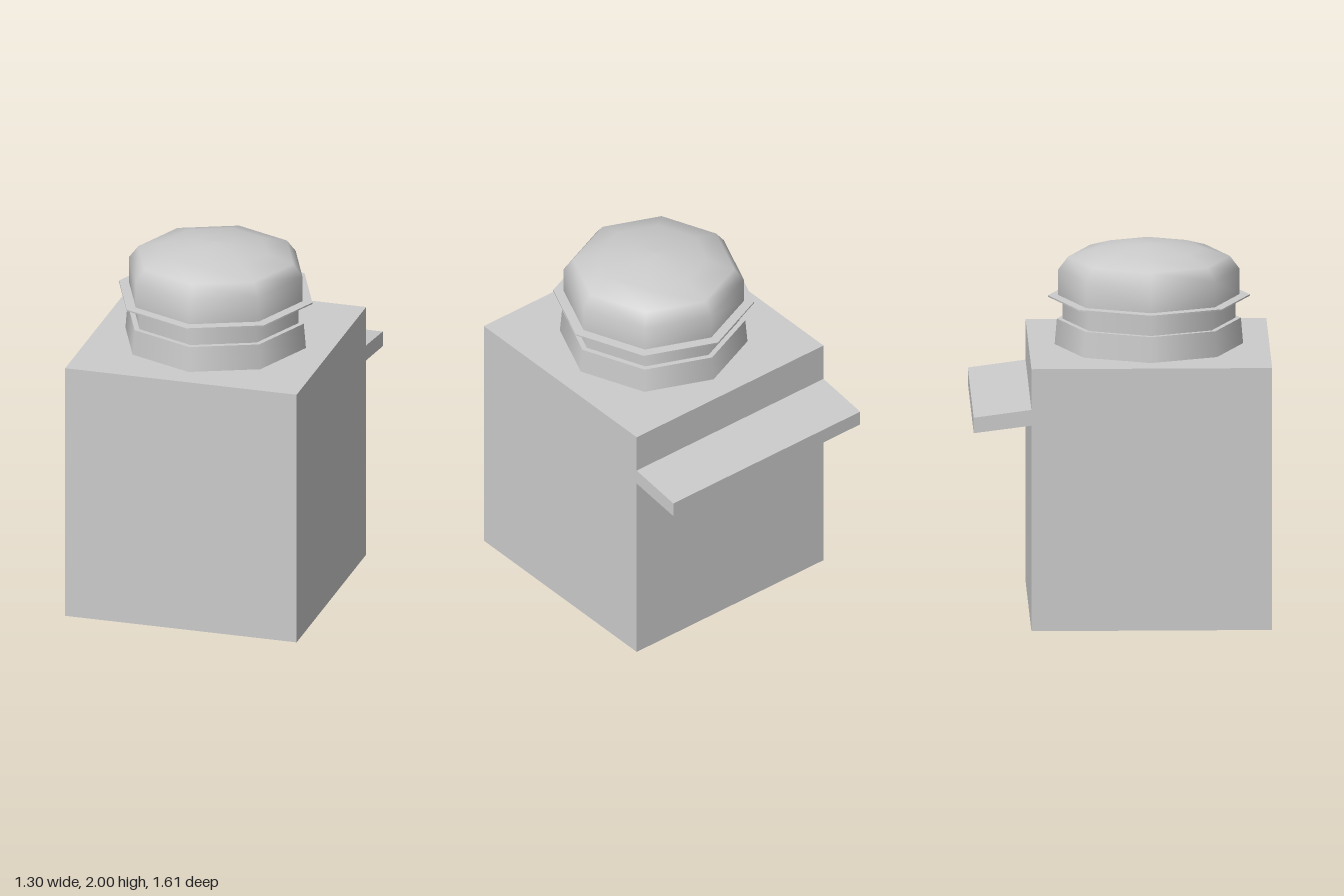
import * as THREE from 'three';

const CENTER_Z = 0.155;
const HALF_WIDTH = 0.65;

export function createModel() {
  const model = new THREE.Group();
  model.name = 'boxWithDomedCap';
  const material = new THREE.MeshStandardMaterial({ color: 0xcccccc, side: THREE.DoubleSide });

  const add = (name, geometry, x = 0, y = 0, z = 0) => {
    const mesh = new THREE.Mesh(geometry, material);
    mesh.name = name;
    mesh.position.set(x, y, z);
    model.add(mesh);
    return mesh;
  };

  // Eight-sided ring or dome from [radius, height] pairs, a corner facing front
  const addOctagon = (name, profile) =>
    add(name, new THREE.LatheGeometry(profile.map(([r, y]) => new THREE.Vector2(r, y)), 8), 0, 0, CENTER_Z);

  // Hollow body: a box without its underside
  const body = new THREE.BoxGeometry(HALF_WIDTH * 2, 1.44, 1.295);
  const bottomStart = 18;
  body.setIndex(Array.from(body.index.array).filter((_, i) => i < bottomStart || i >= bottomStart + 6));
  body.clearGroups();
  add('body', body, 0, 0.72, CENTER_Z);

  // Sloping shelf across the back, profile drawn in (-z, y) and swept along x
  const shelfProfile = new THREE.Shape([
    [0.49, 1.13], [0.803, 1.09], [0.803, 1.175], [0.49, 1.217],
  ].map(([d, y]) => new THREE.Vector2(d, y)));
  const shelf = new THREE.ExtrudeGeometry(shelfProfile, { depth: HALF_WIDTH * 2, bevelEnabled: false });
  shelf.rotateY(Math.PI / 2);
  add('backShelf', shelf, -HALF_WIDTH);

  // Stacked cap
  addOctagon('capBase', [[0.507, 1.44], [0.495, 1.58]]);
  addOctagon('capBaseLedge', [[0.495, 1.58], [0.465, 1.58]]);
  addOctagon('capNeck', [[0.465, 1.58], [0.465, 1.7]]);
  addOctagon('flangeUnderside', [[0.465, 1.7], [0.543, 1.7]]);
  addOctagon('flangeRim', [[0.543, 1.7], [0.543, 1.708]]);
  addOctagon('flangeTop', [[0.543, 1.708], [0.488, 1.71]]);
  addOctagon('dome', [
    [0.488, 1.71], [0.488, 1.85], [0.435, 1.92],
    [0.29, 1.965], [0.12, 1.995], [0, 2],
  ]);

  return model;
}
